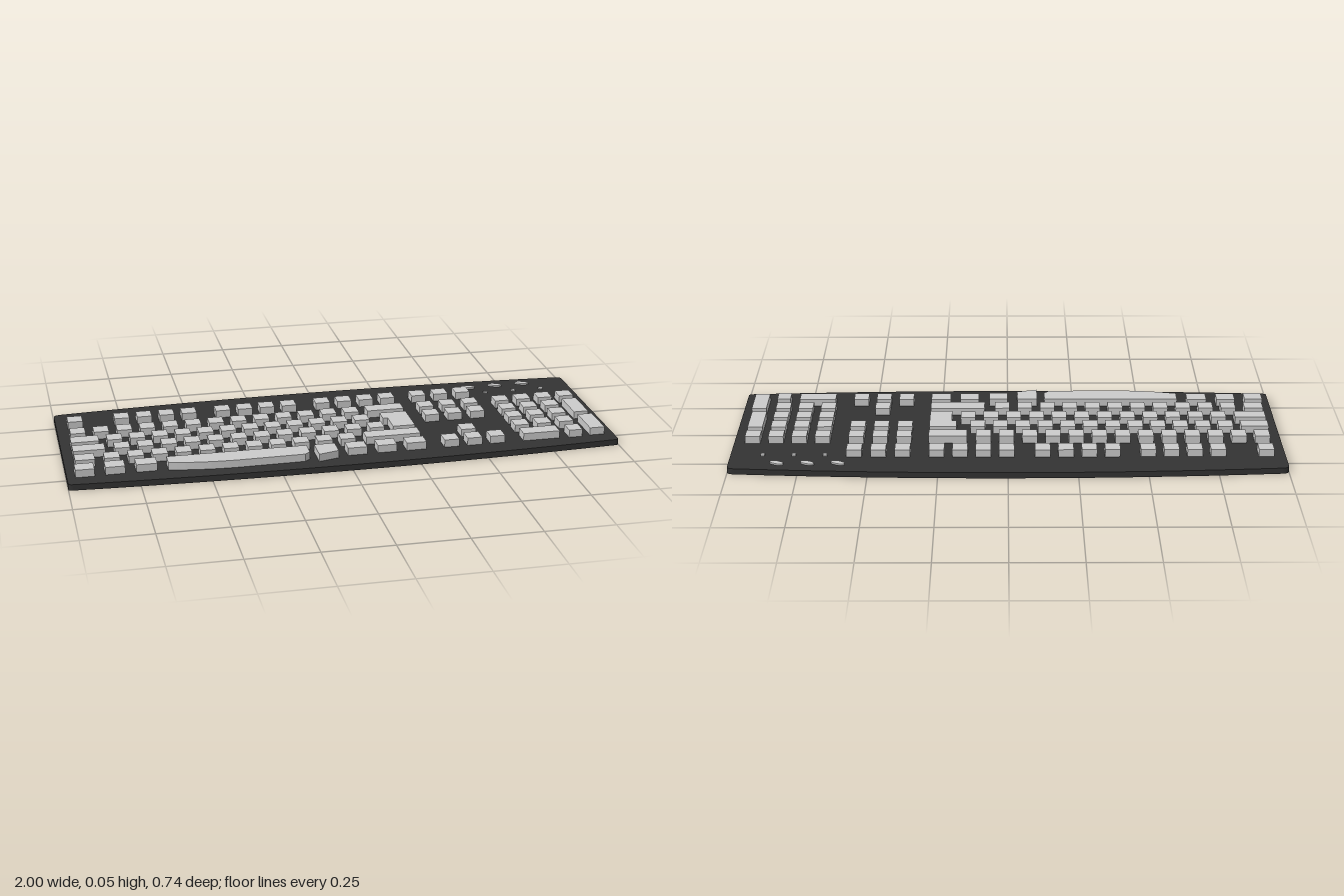
import * as THREE from 'three';

const BASE_TOP = 0.022, KEY_TOP = 0.05, LAMP_TOP = 0.028;

export function createModel() {
  const model = new THREE.Group();
  const caseDark = new THREE.MeshStandardMaterial({ color: 0x333333 });
  const keyGrey = new THREE.MeshStandardMaterial({ color: 0xcccccc });
  caseDark.name = 'caseDark';
  keyGrey.name = 'keyGrey';

  // Extrude an outline drawn in plan (shape y = -z) between two heights
  const slab = (name, shape, y0, y1, material, curveSegments = 16) => {
    const geo = new THREE.ExtrudeGeometry(shape, { depth: y1 - y0, bevelEnabled: false, curveSegments });
    geo.rotateX(-Math.PI / 2);
    const mesh = new THREE.Mesh(geo, material);
    mesh.name = name;
    mesh.position.y = y0;
    model.add(mesh);
    return mesh;
  };

  // Rectangular key by its plan limits
  const key = (name, x0, x1, z0, z1, top = KEY_TOP) => {
    const mesh = new THREE.Mesh(new THREE.BoxGeometry(x1 - x0, top - BASE_TOP, z1 - z0), keyGrey);
    mesh.name = name;
    mesh.position.set((x0 + x1) / 2, (top + BASE_TOP) / 2, (z0 + z1) / 2);
    model.add(mesh);
  };
  const W = 0.0275, D = 0.029;
  const wide = (name, x0, x1, z) => key(name, x0, x1, z - D, z + D);
  const square = (name, x, z) => wide(name, x - W, x + W, z);
  const run = (name, x0, pitch, count, z) => {
    for (let i = 0; i < count; i++) square(name, x0 + i * pitch, z);
  };

  // Case with bowed front and back edges and rounded corners
  const body = new THREE.Shape();
  body.moveTo(-1, -0.318);
  body.lineTo(-1, -0.33);
  body.quadraticCurveTo(-1, -0.337, -0.985, -0.339);
  body.quadraticCurveTo(0, -0.397, 0.985, -0.339);
  body.quadraticCurveTo(1, -0.337, 1, -0.33);
  body.lineTo(1, 0.318);
  body.quadraticCurveTo(1, 0.332, 0.975, 0.335);
  body.quadraticCurveTo(0, 0.405, -0.975, 0.335);
  body.quadraticCurveTo(-1, 0.332, -1, 0.318);
  slab('case', body, 0, BASE_TOP, caseDark);

  const rows = { top: -0.209, one: -0.09, two: -0.004, three: 0.079, four: 0.165, five: 0.251 };

  // Top row
  square('escapeKey', -0.93, rows.top);
  for (const x of [-0.757, -0.377, 0.005]) run('topRowKey', x, 0.084, 4, rows.top);

  // Main block
  run('numberKey', -0.93, 0.085, 13, rows.one);
  wide('backspaceKey', 0.15, 0.29, rows.one);
  wide('tabKey', -0.963, -0.862, rows.two);
  run('letterKey', -0.805, 0.0833, 12, rows.two);
  wide('capsKey', -0.963, -0.848, rows.three);
  run('letterKey', -0.787, 0.085, 12, rows.three);
  wide('leftShiftKey', -0.963, -0.893, rows.four);
  run('letterKey', -0.832, 0.0853, 11, rows.four);
  wide('rightShiftKey', 0.087, 0.29, rows.four);

  // L-shaped enter key
  const enter = new THREE.Shape();
  enter.moveTo(0.208, -0.11);
  enter.lineTo(0.29, -0.11);
  enter.lineTo(0.29, 0.033);
  enter.lineTo(0.19, 0.033);
  enter.lineTo(0.19, -0.024);
  enter.lineTo(0.208, -0.024);
  slab('enterKey', enter, BASE_TOP, KEY_TOP, keyGrey);

  // Bottom row with a bowed space bar
  for (const [x0, x1, dz] of [[-0.97, -0.903, 0], [-0.865, -0.796, -0.003], [-0.757, -0.683, -0.004],
    [0, 0.07, 0.002], [0.11, 0.18, 0], [0.217, 0.29, 0]]) wide('modifierKey', x0, x1, rows.five + dz);
  const space = new THREE.Shape();
  space.moveTo(-0.645, -0.222);
  space.lineTo(-0.645, -0.278);
  space.quadraticCurveTo(-0.53, -0.305, -0.4, -0.306);
  space.lineTo(-0.16, -0.303);
  space.lineTo(-0.14, -0.285);
  space.lineTo(-0.14, -0.222);
  slab('spaceBar', space, BASE_TOP, KEY_TOP, keyGrey, 8);
  const alt = new THREE.Shape();
  alt.moveTo(-0.112, -0.222);
  alt.lineTo(-0.112, -0.315);
  alt.lineTo(-0.037, -0.295);
  alt.lineTo(-0.037, -0.222);
  slab('rightAltKey', alt, BASE_TOP, KEY_TOP, keyGrey);

  // Navigation block and arrows
  for (const z of [rows.top, rows.one, rows.two]) run('navigationKey', 0.38, 0.087, 3, z);
  square('arrowKey', 0.472, rows.four);
  run('arrowKey', 0.385, 0.086, 3, rows.five);

  // Number pad
  run('padKey', 0.677, 0.085, 4, rows.one);
  for (const z of [rows.two, rows.three, rows.four]) run('padKey', 0.677, 0.085, 3, z);
  key('padPlusKey', 0.905, 0.96, -0.033, 0.11);
  key('padEnterKey', 0.91, 0.965, 0.136, 0.277);
  wide('padZeroKey', 0.655, 0.792, rows.five);
  wide('padPointKey', 0.828, 0.878, 0.254);

  // Slanted ovals and small status lamps
  for (let i = 0; i < 3; i++) {
    const oval = new THREE.Shape();
    oval.absellipse(0, 0, 0.027, 0.012, 0, Math.PI * 2, false, -0.4);
    const badge = slab('statusOval', oval, BASE_TOP, LAMP_TOP, keyGrey, 8);
    badge.position.x = 0.608 + i * 0.109;
    badge.position.z = -0.293;
    const x = 0.659 + i * 0.112;
    key('statusLamp', x - 0.007, x + 0.007, -0.231, -0.217, LAMP_TOP);
  }
  return model;
}
